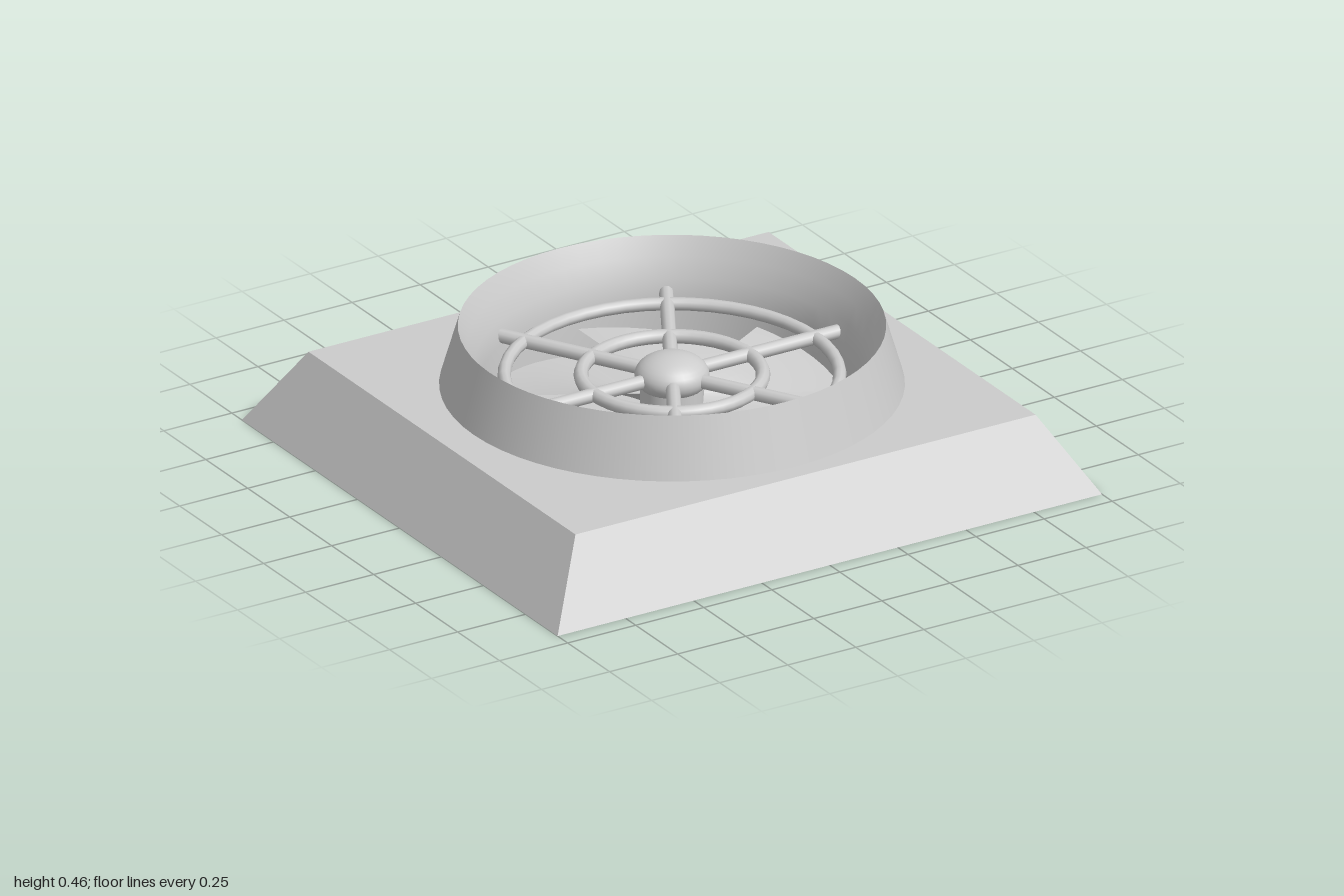
import * as THREE from 'three';
import { ParametricGeometry } from 'three/addons/geometries/ParametricGeometry.js';

export function createModel() {
  const root = new THREE.Group();
  const mat = new THREE.MeshStandardMaterial({ color: 0xcccccc });
  const thin = new THREE.MeshStandardMaterial({ color: 0xcccccc, side: THREE.DoubleSide });
  const flat = new THREE.MeshStandardMaterial({ color: 0xcccccc, flatShading: true });

  const add = (name, geometry, material = mat, parent = root) => {
    const mesh = new THREE.Mesh(geometry, material);
    mesh.name = name;
    parent.add(mesh);
    return mesh;
  };
  const lathe = (points, segments = 64) =>
    new THREE.LatheGeometry(points.map(([r, y]) => new THREE.Vector2(r, y)), segments);

  // Tapered base: sloping sides and underside, with its top face left out
  const H = 0.255;
  const base = new THREE.BoxGeometry(2, H, 1.88);
  base.translate(0, H / 2, 0);
  const p = base.attributes.position;
  for (let i = 0; i < p.count; i++) {
    if (p.getY(i) > 0.1) p.setXYZ(i, Math.sign(p.getX(i)) * 0.845, H, Math.sign(p.getZ(i)) * 0.795);
  }
  const index = Array.from(base.index.array);
  index.splice(12, 6);
  base.setIndex(index);
  add('baseSides', base, flat);

  // Top plate with a round opening for the fan
  const plate = new THREE.Shape();
  plate.moveTo(-0.845, -0.795).lineTo(0.845, -0.795).lineTo(0.845, 0.795).lineTo(-0.845, 0.795).closePath();
  plate.holes.push(new THREE.Path().absarc(0, 0, 0.7, 0, Math.PI * 2, true));
  const plateGeometry = new THREE.ShapeGeometry(plate, 64);
  plateGeometry.rotateX(-Math.PI / 2).translate(0, H, 0);
  add('topPlate', plateGeometry, flat);

  // Collar: tapered outside, funnel inside, flat well floor
  add('collarOutside', lathe([[0.73, 0.25], [0.67, 0.455]]), thin);
  add('collarInside', lathe([[0.67, 0.455], [0.64, 0.395], [0.615, 0.33], [0.6, 0.26], [0.595, 0.08]]), thin);
  const floor = add('wellFloor', new THREE.CircleGeometry(0.6, 64));
  floor.rotation.x = -Math.PI / 2;
  floor.position.y = 0.08;

  // Fan: motor stem and six pitched blades
  const fan = new THREE.Group();
  fan.name = 'fan';
  root.add(fan);
  const stem = add('motorStem', new THREE.CylinderGeometry(0.1, 0.1, 0.2, 24), mat, fan);
  stem.position.y = 0.18;
  const blade = new ParametricGeometry((u, v, target) => {
    const a = Math.PI / 6 + u * Math.PI / 3;
    const r = 0.09 + 0.47 * v;
    target.set(Math.cos(a) * r, 0.13 + 0.09 * u, -Math.sin(a) * r);
  }, 10, 2);
  for (let i = 0; i < 6; i++) {
    add('blade', blade, thin, fan).rotation.y = i * Math.PI / 3;
  }

  // Guard: two wire rings, six spokes and a domed hub cap
  const guard = new THREE.Group();
  guard.name = 'guard';
  guard.position.y = 0.285;
  root.add(guard);
  for (const [radius, tube] of [[0.525, 0.021], [0.285, 0.023]]) {
    const ring = add('guardRing', new THREE.TorusGeometry(radius, tube, 10, 48), mat, guard);
    ring.rotation.x = Math.PI / 2;
  }
  const spoke = new THREE.CylinderGeometry(0.023, 0.023, 0.56, 10);
  spoke.rotateZ(Math.PI / 2).translate(0.335, 0, 0);
  for (let i = 0; i < 6; i++) {
    add('spoke', spoke, mat, guard).rotation.y = i * Math.PI / 3;
  }
  const cap = add('hubCap', new THREE.SphereGeometry(0.118, 32, 16), mat, guard);
  cap.scale.y = 0.6;

  return root;
}
